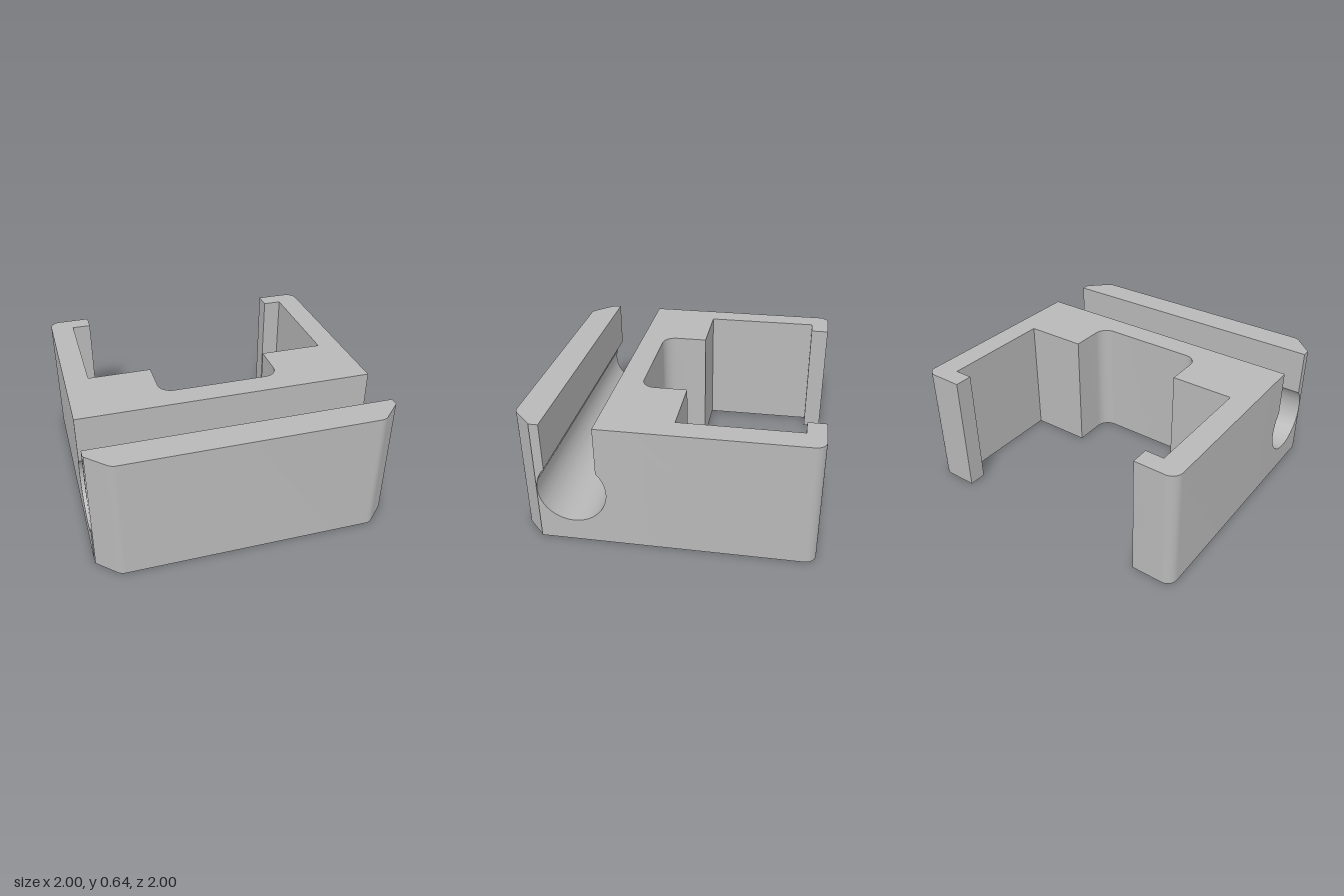
import * as THREE from 'three';
import { toCreasedNormals } from 'three/addons/utils/BufferGeometryUtils.js';

const H = 0.64;        // height of the bracket
const HALF = 0.757;    // half its width
const SEAM_A = 0.3;    // between the clip and the bored block
const SEAM_B = 0.66;   // between the bored block and the front plate

// Closed outline from [x, y, rounding] points
function outline(points) {
  const shape = new THREE.Shape();
  const n = points.length;
  const vec = (p) => new THREE.Vector2(p[0], p[1]);
  points.forEach((p, i) => {
    const c = vec(p), r = p[2] || 0;
    const toward = (q) => c.clone().add(vec(q).sub(c).setLength(r));
    const a = r ? toward(points[(i + n - 1) % n]) : c;
    const b = r ? toward(points[(i + 1) % n]) : c;
    if (i === 0) shape.moveTo(a.x, a.y); else shape.lineTo(a.x, a.y);
    if (r) {
      const h1 = a.clone().lerp(c, 0.55), h2 = b.clone().lerp(c, 0.55);
      shape.bezierCurveTo(h1.x, h1.y, h2.x, h2.y, b.x, b.y);
    }
  });
  shape.closePath();
  return shape;
}

// Removes the hidden faces lying on a joint plane z = seam
function openSeams(geometry, seams) {
  const g = geometry.index ? geometry.toNonIndexed() : geometry;
  const p = g.attributes.position;
  const kept = [];
  for (let i = 0; i < p.count; i += 3) {
    const hidden = seams.some((s) => [0, 1, 2].every((k) => Math.abs(p.getZ(i + k) - s) < 1e-5));
    if (!hidden) for (let k = 0; k < 3; k++) kept.push(p.getX(i + k), p.getY(i + k), p.getZ(i + k));
  }
  const out = new THREE.BufferGeometry();
  out.setAttribute('position', new THREE.Float32BufferAttribute(kept, 3));
  return toCreasedNormals(out, 0.6);
}

// Plan outline given as right half [u, v, rounding], mirrored and raised to full height
function planSolid(half, seams) {
  const right = half.map(([u, v, r]) => [u, -v, r]);
  const left = right.map(([u, v, r]) => [-u, v, r]).reverse();
  const g = new THREE.ExtrudeGeometry(outline([...right, ...left]), { depth: H, bevelEnabled: false, curveSegments: 10 });
  g.rotateX(-Math.PI / 2);
  return openSeams(g, seams);
}

export function createModel() {
  const model = new THREE.Group();
  model.name = 'clipBracket';
  const grey = new THREE.MeshStandardMaterial({ color: 0xb8b8b8 });
  grey.name = 'grey';

  const body = new THREE.Group();
  body.name = 'bracketBody';
  body.rotation.y = Math.PI / 4;
  model.add(body);
  const add = (name, geometry) => {
    const mesh = new THREE.Mesh(geometry, grey);
    mesh.name = name;
    body.add(mesh);
  };

  // Two hooked arms and the stepped pocket between them
  add('hookedClip', planSolid([
    [HALF, SEAM_A], [HALF, -0.69, 0.055], [0.54, -0.69], [0.54, -0.597],
    [0.636, -0.597], [0.636, 0], [0.311, 0], [0.311, 0.235, 0.07],
  ], [SEAM_A]));

  // Block with a round bore that opens upward through a narrower slot
  const boreV = 0.487, boreY = 0.283, boreR = 0.17, slot = 0.126;
  const angle = Math.acos(slot / boreR);
  const slotY = boreY + boreR * Math.sin(angle);
  const profile = new THREE.Shape();
  profile.moveTo(-SEAM_B, 0);
  profile.lineTo(-SEAM_A, 0);
  profile.lineTo(-SEAM_A, H);
  profile.lineTo(-boreV + slot, H);
  profile.lineTo(-boreV + slot, slotY);
  profile.absarc(-boreV, boreY, boreR, angle, Math.PI - angle, true);
  profile.lineTo(-boreV - slot, H);
  profile.lineTo(-SEAM_B, H);
  profile.closePath();
  const block = new THREE.ExtrudeGeometry(profile, { depth: 2 * HALF, bevelEnabled: false, curveSegments: 40 });
  block.rotateY(Math.PI / 2);
  block.translate(-HALF, 0, 0);
  add('boredBlock', openSeams(block, [SEAM_A, SEAM_B]));

  // Front plate with softened chamfers at both ends
  add('frontPlate', planSolid([
    [0.648, 0.764, 0.02], [HALF - 0.003, SEAM_B], [HALF, SEAM_B],
  ], [SEAM_B]));

  return model;
}
